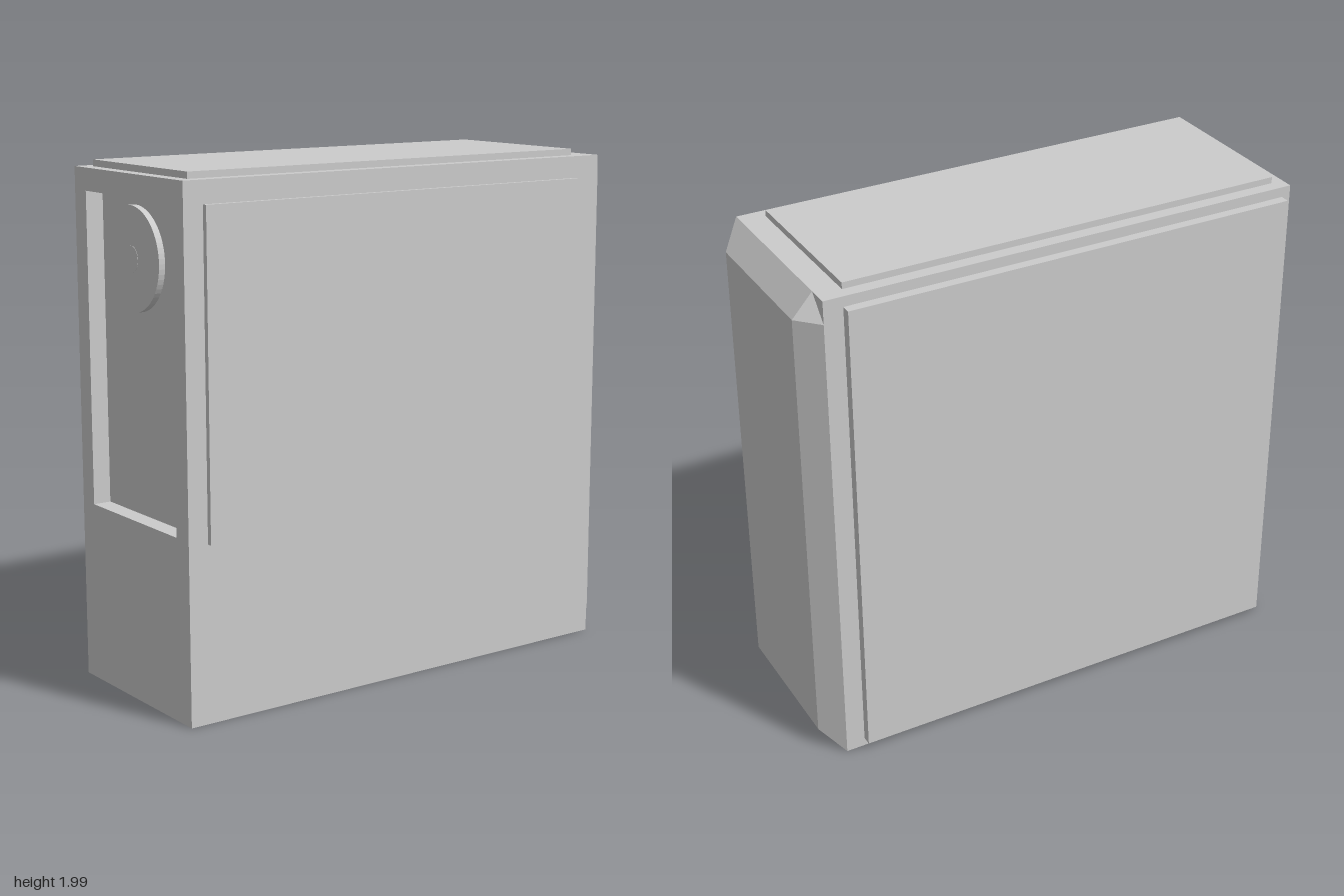
import * as THREE from 'three';
import { ConvexGeometry } from 'three/addons/geometries/ConvexGeometry.js';

const solid = new THREE.MeshStandardMaterial({ color: 0xcccccc, flatShading: true });
const sheet = new THREE.MeshStandardMaterial({ color: 0xcccccc, flatShading: true, side: THREE.DoubleSide });

// Body limits
const X0 = -0.37, X1 = 0.385, TOP = 1.96, FRONT = 1, BACK = -0.92;
const SIDES = ['px', 'nx', 'py', 'ny', 'pz', 'nz'];

export function createModel() {
  const model = new THREE.Group();

  const add = (name, geometry, material = solid) => {
    const mesh = new THREE.Mesh(geometry, material);
    mesh.name = name;
    model.add(mesh);
    return mesh;
  };

  // Box between two corners; sides listed in "open" are left out
  const box = (name, [ax, ay, az], [bx, by, bz], open = []) => {
    const g = new THREE.BoxGeometry(bx - ax, by - ay, bz - az);
    g.translate((ax + bx) / 2, (ay + by) / 2, (az + bz) / 2);
    const index = Array.from(g.index.array);
    g.setIndex(index.filter((_, i) => !open.includes(SIDES[Math.floor(i / 6)])));
    g.clearGroups();
    return add(name, g, open.length ? sheet : solid);
  };

  // Flat rectangle with a rectangular opening
  const rect = (path, u0, v0, u1, v1) =>
    path.moveTo(u0, v0).lineTo(u1, v0).lineTo(u1, v1).lineTo(u0, v1).closePath();
  const frame = (outer, hole) => {
    const shape = rect(new THREE.Shape(), ...outer);
    shape.holes.push(rect(new THREE.Path(), ...hole));
    return new THREE.ShapeGeometry(shape);
  };

  // Case shell, open underneath
  box('caseShell', [X0, 0, BACK], [X1, TOP, FRONT], ['nx', 'ny', 'pz']);
  box('innerDivider', [X0, 0.6, BACK], [X1, 0.61, FRONT], ['px', 'nx', 'py', 'pz', 'nz']);

  // Front wall with its recessed bay
  add('frontWall', frame([X0, 0, X1, TOP], [-0.29, 0.69, 0.305, 1.875]), sheet).position.z = FRONT;
  box('frontRecess', [-0.29, 0.69, 0.93], [0.305, 1.875, FRONT], ['pz']);

  // Round disc and its small hub in the bay
  const disc = (name, radius, z0, z1, segments) => {
    const g = new THREE.CylinderGeometry(radius, radius, z1 - z0, segments).rotateX(Math.PI / 2);
    add(name, g).position.set(-0.05, 1.645, (z0 + z1) / 2);
  };
  disc('frontDisc', 0.195, 0.93, 0.955, 64);
  disc('discHub', 0.05, 0.94, 0.956, 32);

  // Right wall with the hollow cover standing out from it
  const rightWall = frame([BACK, 0, FRONT, TOP], [-0.845, 0.035, 0.965, 1.92]);
  add('rightWall', rightWall.rotateY(-Math.PI / 2), sheet).position.x = X0;
  box('rightCover', [-0.408, 0.035, -0.845], [X0, 1.92, 0.965], ['px']);

  // Raised window panel and top panel
  box('windowPanel', [X1, 0.67, -0.8], [0.405, 1.875, 0.92]);
  box('topPanel', [-0.32, TOP, -0.825], [0.335, 1.985, 0.95]);

  // Bevelled back: two opposite corners mitred, the other two cut by a triangle
  const points = [];
  for (const right of [true, false]) {
    for (const top of [true, false]) {
      const xo = right ? X0 : X1, xi = right ? -0.285 : 0.305;
      const yo = top ? TOP : 0, yi = top ? 1.87 : 0.08;
      points.push(new THREE.Vector3(xi, yi, -1));
      if (right === top) {
        points.push(new THREE.Vector3(xo, yi, BACK), new THREE.Vector3(xi, yo, BACK));
      } else {
        points.push(new THREE.Vector3(xo, yo, BACK));
      }
    }
  }
  add('backBevel', new ConvexGeometry(points));

  return model;
}
